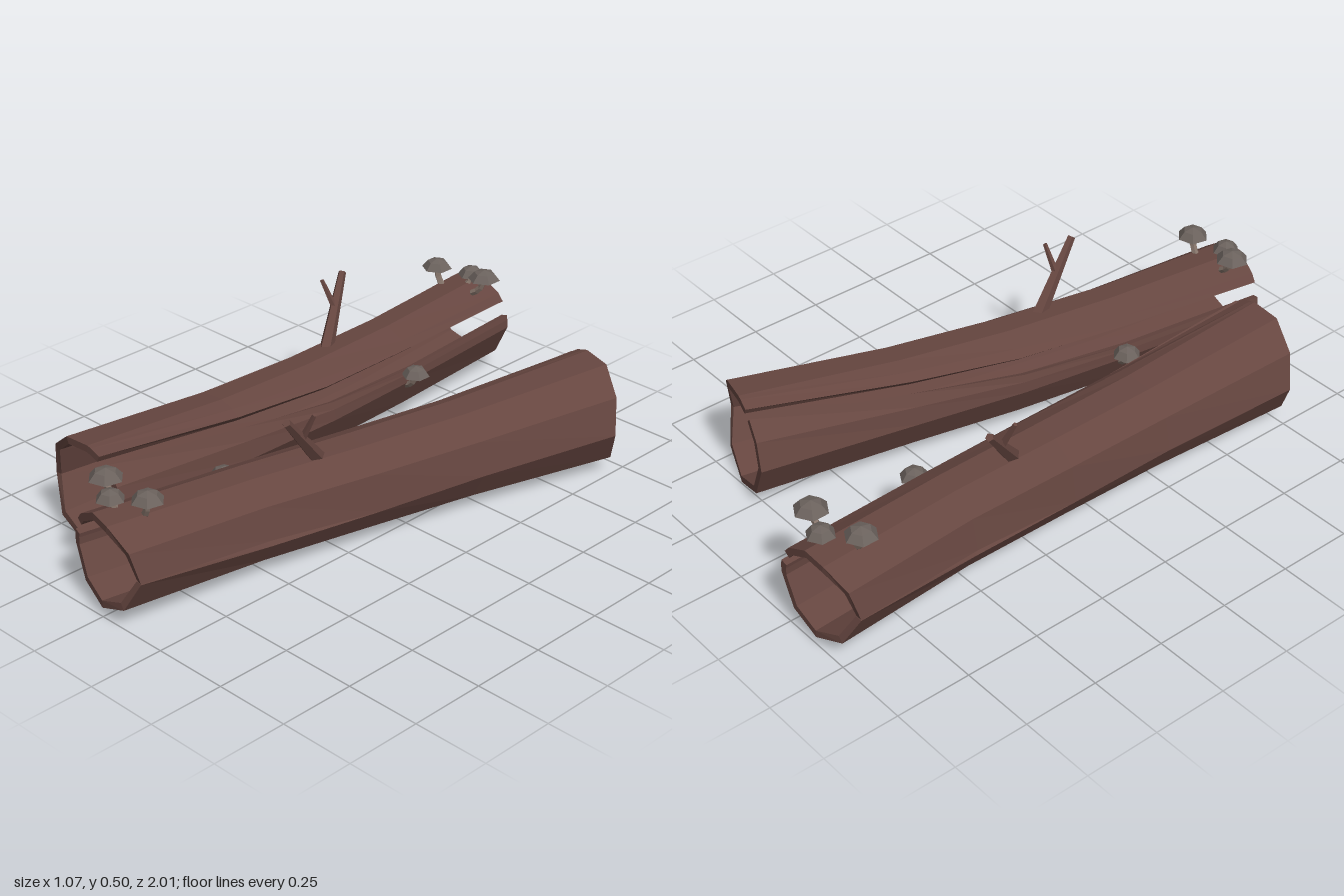
import * as THREE from 'three';

const mat = (color) => new THREE.MeshStandardMaterial({ color, flatShading: true });
const V = (x, y, z) => new THREE.Vector3(x, y, z);
const WALL = 0.024;

// Log stations: z, centre x/y, radii, then angles (degrees) of the wide crack
// (upper lip, lower lip) and the narrow crack (middle, half width).
const stations = [
  { z: -1.0, cx: -0.375, cy: 0.18, rx: 0.155, ry: 0.152, up: 33, low: 14, side: 184, gap: 0.5 },
  { z: -0.5, cx: -0.34, cy: 0.17, rx: 0.15, ry: 0.15, up: 38, low: 14, side: 192, gap: 4.5 },
  { z: -0.12, cx: -0.332, cy: 0.165, rx: 0.158, ry: 0.15, up: 41, low: 21, side: 194, gap: 0 },
  { z: 0.25, cx: -0.335, cy: 0.168, rx: 0.163, ry: 0.155, up: 49, low: 36, side: 189, gap: 0 },
  { z: 0.78, cx: -0.345, cy: 0.182, rx: 0.188, ry: 0.18, up: 62, low: 52, side: 186, gap: 0 },
];
const upperAngles = (s) => [s.up, s.up + 12, 79, 110, 147, s.side - s.gap];
const lowerAngles = (s) => [s.side + s.gap, 227, 270, 312, 357, 360 + s.low * 0.55, 360 + s.low];

// Thick curved shell: an outer and inner arc at every station, closed at both ends
function shellGeometry(anglesOf) {
  const pos = [], idx = [];
  const L = anglesOf(stations[0]).length * 2;
  const last = stations.length - 1;
  stations.forEach((s, k) => {
    const angles = anglesOf(s);
    const point = (deg, inset) => {
      const a = THREE.MathUtils.degToRad(deg);
      // the ends are worn back on one side
      const worn = 0.05 * Math.max(0, -Math.cos(a)) ** 3;
      const dz = k === 0 ? worn : k === last ? -worn : 0;
      pos.push(s.cx + Math.cos(a) * (s.rx - inset), s.cy + Math.sin(a) * (s.ry - inset), s.z + dz);
    };
    angles.forEach((a) => point(a, 0));
    angles.slice().reverse().forEach((a) => point(a, WALL));
  });
  const quad = (a, b, c, d) => idx.push(a, b, c, a, c, d);
  for (let k = 0; k < last; k++)
    for (let j = 0; j < L; j++) {
      const n = (j + 1) % L;
      quad(k * L + j, k * L + n, (k + 1) * L + n, (k + 1) * L + j);
    }
  for (let j = 0; j < L / 2 - 1; j++) {
    const e = last * L;
    quad(e + j, e + j + 1, e + L - 2 - j, e + L - 1 - j);
    quad(j, L - 1 - j, L - 2 - j, j + 1);
  }
  const g = new THREE.BufferGeometry();
  g.setAttribute('position', new THREE.Float32BufferAttribute(pos, 3));
  g.setIndex(idx);
  g.computeVertexNormals();
  return g;
}

function createLog(bark, capMat, stemMat) {
  const log = new THREE.Group();
  const add = (parent, name, geo, m) => {
    const mesh = new THREE.Mesh(geo, m);
    mesh.name = name;
    parent.add(mesh);
    return mesh;
  };

  // Hollow trunk, split into two shells by the cracks
  add(log, 'upperBark', shellGeometry(upperAngles), bark);
  add(log, 'lowerBark', shellGeometry(lowerAngles), bark);

  // Forked twig
  const twig = new THREE.Group();
  twig.name = 'twig';
  const stick = (name, a, b, r0, r1) => {
    const dir = b.clone().sub(a);
    const m = add(twig, name, new THREE.CylinderGeometry(r1, r0, dir.length(), 5), bark);
    m.position.copy(a).add(b).multiplyScalar(0.5);
    m.quaternion.setFromUnitVectors(V(0, 1, 0), dir.normalize());
  };
  stick('twigStem', V(-0.355, 0.28, -0.25), V(-0.445, 0.495, -0.42), 0.026, 0.013);
  stick('twigFork', V(-0.405, 0.4, -0.345), V(-0.445, 0.495, -0.325), 0.012, 0.007);
  log.add(twig);

  // Mushrooms: cap rim position, cap radius, foot of the stem
  const mushrooms = [
    [V(-0.435, 0.372, -0.87), 0.052, V(-0.405, 0.31, -0.87)],
    [V(-0.34, 0.352, -0.94), 0.046, V(-0.35, 0.31, -0.91)],
    [V(-0.255, 0.372, -0.91), 0.055, V(-0.3, 0.31, -0.9)],
    [V(-0.155, 0.2, -0.47), 0.047, V(-0.2, 0.15, -0.47)],
  ];
  for (const [top, r, foot] of mushrooms) {
    const mushroom = new THREE.Group();
    mushroom.name = 'mushroom';
    const profile = [[0, 0.006], [r, 0], [r * 0.62, 0.024], [0, 0.033]].map((p) => new THREE.Vector2(...p));
    add(mushroom, 'mushroomCap', new THREE.LatheGeometry(profile, 6), capMat).position.copy(top);
    const bend = V(top.x, (top.y + foot.y) / 2 - 0.01, top.z);
    const curve = new THREE.QuadraticBezierCurve3(foot, bend, top.clone().add(V(0, 0.008, 0)));
    add(mushroom, 'mushroomStem', new THREE.TubeGeometry(curve, 4, 0.011, 5), stemMat);
    log.add(mushroom);
  }

  // Move the middle of the log to its own origin so it can be turned in place
  log.position.set(0.36, 0, 0.105);
  const pivot = new THREE.Group();
  pivot.add(log);
  return pivot;
}

export function createModel() {
  const model = new THREE.Group();
  model.name = 'hollowLogs';
  const bark = mat(0x664640), capMat = mat(0x6b625d), stemMat = mat(0x85746a);

  const rightLog = createLog(bark, capMat, stemMat);
  rightLog.name = 'rightLog';
  rightLog.position.set(-0.36, 0, -0.105);

  // The same log turned around and laid at an angle
  const leftLog = createLog(bark, capMat, stemMat);
  leftLog.name = 'leftLog';
  leftLog.position.set(0.18, 0, 0.12);
  leftLog.rotation.y = 2.916;

  model.add(rightLog, leftLog);
  return model;
}
